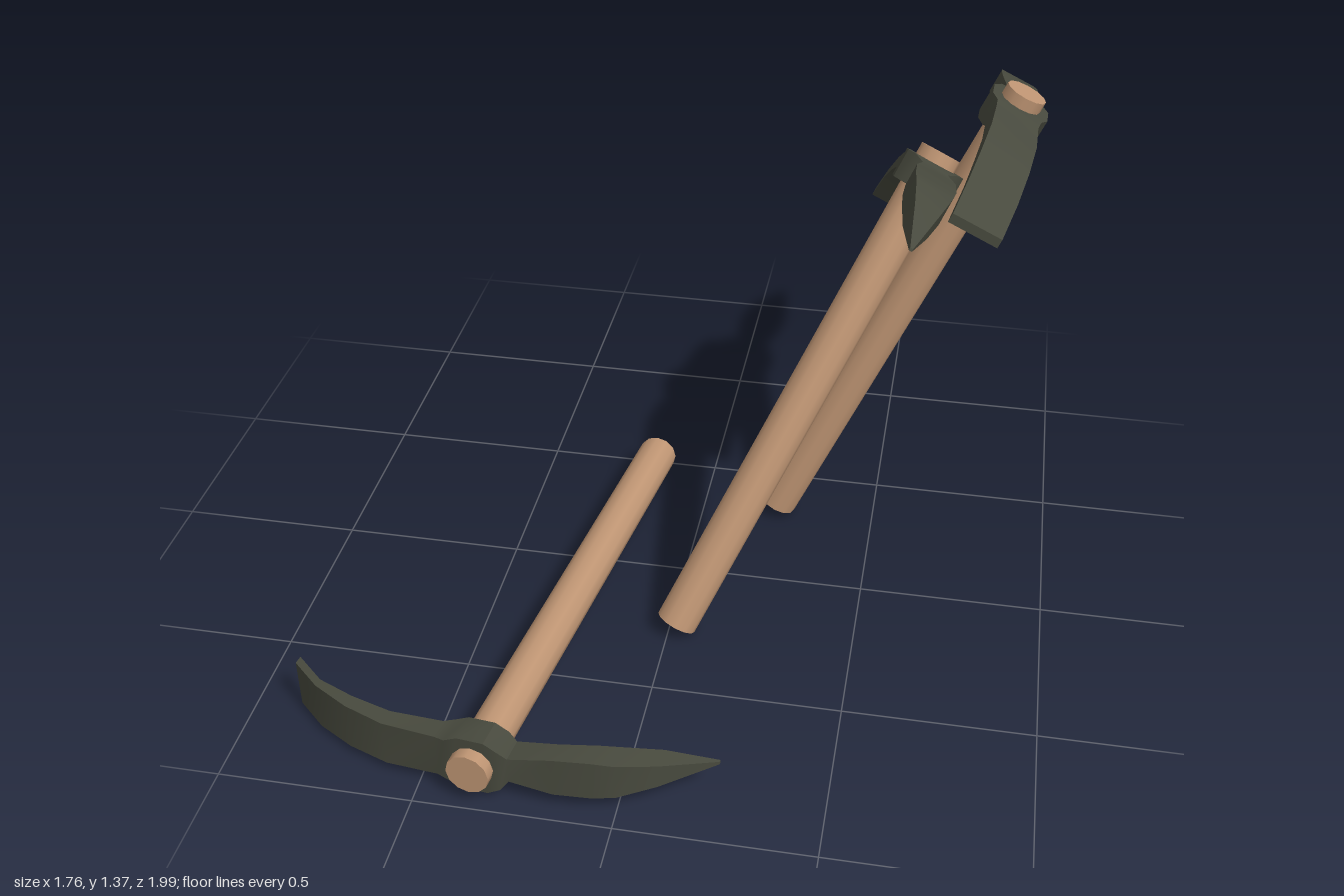
import * as THREE from 'three';
import { toCreasedNormals } from 'three/addons/utils/BufferGeometryUtils.js';

const wood = new THREE.MeshStandardMaterial({ color: 0xc09674 });
const iron = new THREE.MeshStandardMaterial({ color: 0x484a3e });
const LENGTH = 1.45, RADIUS = 0.056;

// Head stations from the flat blade to the point: x, top, bottom, half width
const STATIONS = [
  [-0.55, -0.114, -0.139, 0.067],
  [-0.46, -0.05, -0.075, 0.067],
  [-0.355, -0.004, -0.043, 0.066],
  [-0.24, 0.026, -0.022, 0.064],
  [-0.1, 0.028, -0.03, 0.061],
  [-0.07, 0.036, -0.042, 0.064],
  [-0.035, 0.036, -0.042, 0.08],
  [0.035, 0.036, -0.042, 0.08],
  [0.07, 0.036, -0.042, 0.06],
  [0.09, 0.026, -0.04, 0.036],
  [0.2, 0.018, -0.041, 0.055],
  [0.295, 0.002, -0.064, 0.056],
  [0.352, -0.011, -0.082, 0.05],
  [0.443, -0.059, -0.119, 0.033],
  [0.573, -0.147, -0.154, 0.004],
];

// Rectangular cross-sections joined along the curved head
function headGeometry() {
  const pos = [], index = [];
  for (const [x, top, bottom, w] of STATIONS) {
    pos.push(x, top, w, x, top, -w, x, bottom, -w, x, bottom, w);
  }
  for (let i = 0; i < STATIONS.length - 1; i++) {
    for (let j = 0; j < 4; j++) {
      const a = i * 4 + j, b = i * 4 + (j + 1) % 4;
      index.push(a, b + 4, b, a, a + 4, b + 4);
    }
  }
  const e = (STATIONS.length - 1) * 4;
  index.push(0, 1, 2, 0, 2, 3, e, e + 2, e + 1, e, e + 3, e + 2);
  const g = new THREE.BufferGeometry();
  g.setAttribute('position', new THREE.Float32BufferAttribute(pos, 3));
  g.setIndex(index);
  return toCreasedNormals(g, 0.5);
}

// foot and top are the handle ends; headDir runs from blade to point
function pickaxe(name, foot, top, headDir, headGeo, handleGeo) {
  const group = new THREE.Group();
  group.name = name;
  const start = new THREE.Vector3(...foot);
  const y = new THREE.Vector3(...top).sub(start).normalize();
  const x = new THREE.Vector3(...headDir);
  x.addScaledVector(y, -x.dot(y)).normalize();
  const z = new THREE.Vector3().crossVectors(x, y);
  group.quaternion.setFromRotationMatrix(new THREE.Matrix4().makeBasis(x, y, z));
  group.position.copy(start);

  const handle = new THREE.Mesh(handleGeo, wood);
  handle.name = 'handle';
  handle.position.y = LENGTH / 2;
  const head = new THREE.Mesh(headGeo, iron);
  head.name = 'head';
  head.position.y = LENGTH - 0.068;
  group.add(handle, head);
  return group;
}

export function createModel() {
  const model = new THREE.Group();
  model.name = 'pickaxes';
  const headGeo = headGeometry();
  const handleGeo = new THREE.CylinderGeometry(RADIUS, RADIUS, LENGTH, 12);
  model.add(
    pickaxe('lyingPickaxe', [-0.17, 0.065, -0.455], [-0.36, 0.095, 0.985],
      [0.991, 0.025, 0.13], headGeo, handleGeo),
    pickaxe('leaningPickaxeBack', [0.218, 0.03, -0.328], [0.818, 1.343, -0.448],
      [0.03, -0.13, -1.11], headGeo, handleGeo),
    pickaxe('leaningPickaxeFront', [0.022, 0.03, 0.268], [0.612, 1.22, -0.298],
      [0.095, 0.41, 1.04], headGeo, handleGeo),
  );
  return model;
}
